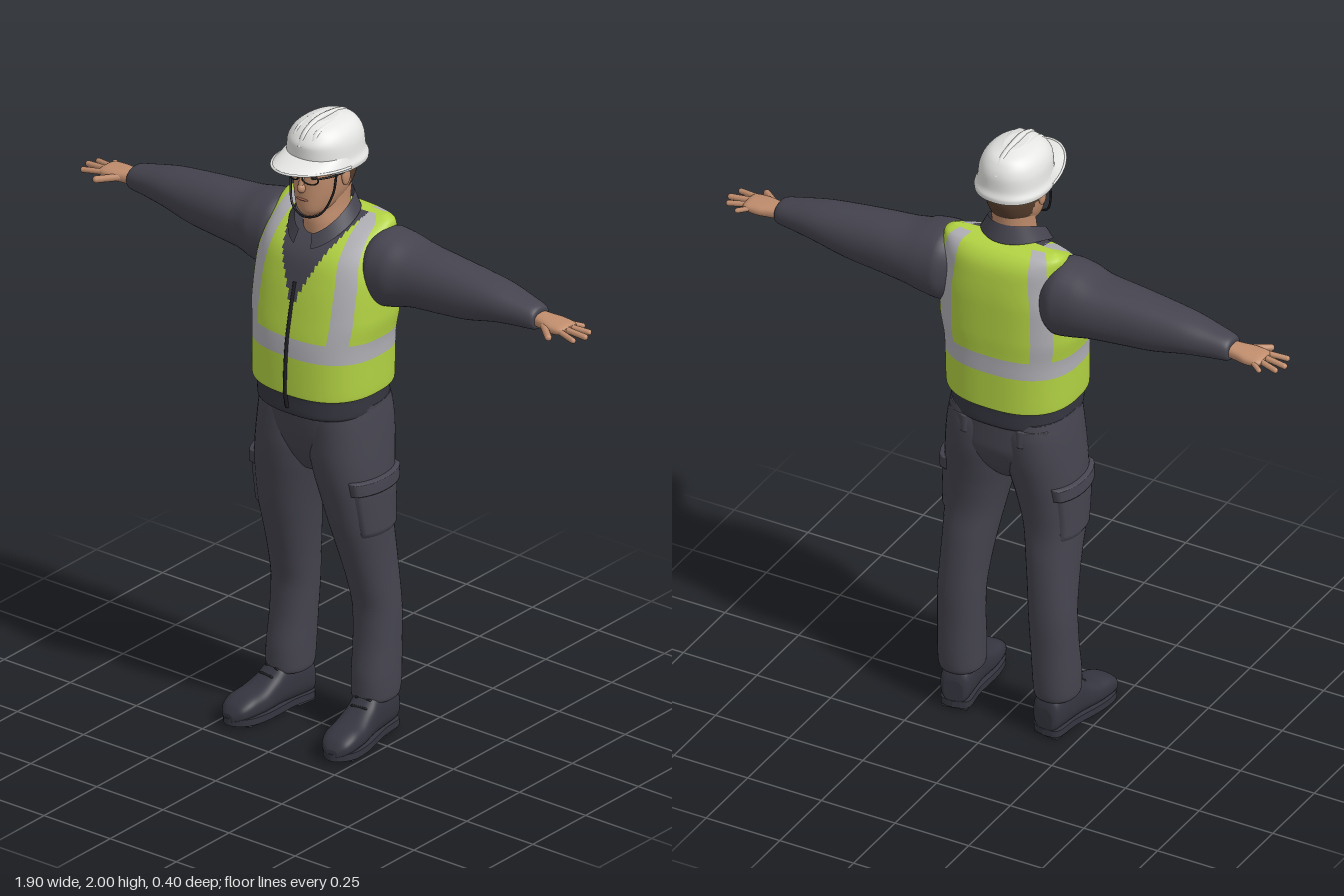
import * as THREE from 'three';

const mat = (name, color, side = THREE.FrontSide) => {
  const m = new THREE.MeshStandardMaterial({ color, side });
  m.name = name;
  return m;
};

// Monotone cubic blend between neighbouring cross-sections
function blend(p0, p1, p2, p3, u) {
  const slope = (a, b) => (a * b <= 0 ? 0 : Math.sign(a) * Math.min(Math.abs(a + b) / 2, 3 * Math.abs(a), 3 * Math.abs(b)));
  const d = p2 - p1, m1 = slope(p1 - p0, d), m2 = slope(d, p3 - p2);
  return p1 + u * (m1 + u * (3 * d - 2 * m1 - m2 + u * (m1 + m2 - 2 * d)));
}
const power = (v, e) => Math.sign(v) * Math.abs(v) ** e;

// Surface through rings [t, a0, a1, b0, b1]: superellipses stacked along an axis
function surface(rings, axis, n = 2.2) {
  const last = rings.length - 1;
  return (th, s, puff = 0) => {
    const k = s * last, i = Math.min(Math.floor(k), last - 1);
    const [t, a0, a1, b0, b1] = rings[i].map((v, j) =>
      blend(rings[Math.max(i - 1, 0)][j], v, rings[i + 1][j], rings[Math.min(i + 2, last)][j], k - i));
    const a = (a0 + a1) / 2 + ((a1 - a0) / 2 + puff) * power(Math.cos(th), 2 / n);
    const b = (b0 + b1) / 2 + ((b1 - b0) / 2 + puff) * power(Math.sin(th), 2 / n);
    return axis === 'y' ? [a, t, b] : axis === 'x' ? [t, a, b] : [a, b, t];
  };
}

// Grid geometry over a surface: whole and capped, or a raised patch of it
function grid(f, { nu = 40, nv = 48, th = null, s = [0, 1], puff = 0, flip = false, mirror = false, paint = null } = {}) {
  const [t0, t1] = th ?? [0, Math.PI * 2], cols = th ? nu + 1 : nu, pos = [], groups = [[], [], [], []];
  for (let j = 0; j <= nv; j++) for (let i = 0; i < cols; i++) {
    const u = i / nu, v = j / nv;
    const rise = puff ? Math.min(1, 10 * Math.min(u, 1 - u, v, 1 - v)) * (puff + 0.004) - 0.004 : 0;
    const [x, y, z] = f(t0 + u * (t1 - t0), s[0] + v * (s[1] - s[0]), rise);
    pos.push(mirror ? -x : x, y, z);
  }
  const tri = (g, a, b, c) => groups[g].push(...(flip !== mirror ? [a, c, b] : [a, b, c]));
  for (let j = 0; j < nv; j++) for (let i = 0; i < nu; i++) {
    const k = th ? i + 1 : (i + 1) % nu;
    const a = j * cols + i, b = j * cols + k, d = a + cols, e = b + cols;
    const mid = [0, 1, 2].map((q) => (pos[a * 3 + q] + pos[e * 3 + q]) / 2);
    const g = paint ? paint(...mid, t0 + ((i + 0.5) / nu) * (t1 - t0)) : 0;
    tri(g, a, b, d);
    tri(g, b, e, d);
  }
  if (!th) for (const j of [0, nv]) {
    const c = pos.length / 3, sum = [0, 0, 0];
    for (let i = 0; i < nu; i++) for (let q = 0; q < 3; q++) sum[q] += pos[(j * cols + i) * 3 + q] / nu;
    pos.push(...sum);
    for (let i = 0; i < nu; i++) {
      const p = j * cols + i, q = j * cols + (i + 1) % nu;
      j ? tri(0, p, q, c) : tri(0, q, p, c);
    }
  }
  const geo = new THREE.BufferGeometry();
  geo.setAttribute('position', new THREE.Float32BufferAttribute(pos, 3));
  geo.setIndex(groups.flat());
  let start = 0;
  if (paint) groups.forEach((g, i) => { if (g.length) geo.addGroup(start, g.length, i); start += g.length; });
  geo.computeVertexNormals();
  return geo;
}

export function createModel() {
  const navy = mat('navy cloth', 0x45444f, THREE.DoubleSide), dark = mat('dark navy', 0x353540);
  const lime = mat('lime vest', 0xb3d343), silver = mat('silver tape', 0xb0b0b6);
  const skin = mat('skin', 0xc08d6d), hair = mat('brown hair', 0x59402f), lips = mat('lips', 0x9c6450);
  const white = mat('white shell', 0xe6e6e4, THREE.DoubleSide), black = mat('black', 0x1e1e22);
  const root = new THREE.Group();
  const add = (name, geo, m, parent = root) => {
    const mesh = new THREE.Mesh(geo, m);
    mesh.name = name;
    parent.add(mesh);
    return mesh;
  };
  const V = (p) => new THREE.Vector3(...p);
  const tube = (pts, r, seg = 32) => new THREE.TubeGeometry(new THREE.CatmullRomCurve3(pts.map(V)), seg, r, 8);
  const ball = (x, y, z, a, b, c) => new THREE.SphereGeometry(1, 20, 14).scale(a, b, c).translate(x, y, z);
  const rod = (p, q, r) => {
    const a = V(p), d = V(q).sub(a), len = d.length();
    return new THREE.CapsuleGeometry(r, len, 6, 12).applyQuaternion(
      new THREE.Quaternion().setFromUnitVectors(new THREE.Vector3(0, 1, 0), d.clone().normalize()))
      .translate(...a.addScaledVector(d, 0.5).toArray());
  };
  const even = (rows) => rows.map(([t, r, b0, b1]) => [t, -r, r, b0, b1]);

  // Torso: jacket hem, vest, reflective tape and open neck
  const torso = surface(even([
    [1.07, 0.175, -0.16, 0.14], [1.085, 0.19, -0.18, 0.16], [1.14, 0.192, -0.182, 0.162], [1.15, 0.207, -0.192, 0.172],
    [1.3, 0.213, -0.192, 0.165], [1.4, 0.226, -0.195, 0.148], [1.5, 0.225, -0.195, 0.125], [1.58, 0.212, -0.19, 0.095],
    [1.64, 0.203, -0.178, 0.035], [1.675, 0.195, -0.15, -0.03], [1.69, 0.17, -0.11, -0.07]]), 'y', 2.5);
  const vestPaint = (x, y, z, th) => {
    const c = Math.abs(Math.cos(th));
    if (y < 1.145) return 3;
    if (z > -0.08 && y > 1.42 && Math.abs(x) < (y - 1.42) * 0.45) return 2;
    if (y > 1.272 && y < 1.328) return 1;
    return y > 1.3 && c > 0.53 && c < 0.8 ? 1 : 0;
  };
  add('vest', grid(torso, { nu: 160, nv: 150, flip: true, paint: vestPaint }), [lime, silver, navy, dark]);
  add('zipper', tube([[0, 1.1, 0.162], [0, 1.15, 0.171], [0, 1.3, 0.165], [0, 1.4, 0.148], [0, 1.5, 0.125]], 0.006), black);

  // Folded collar, higher at the nape, open at the throat
  const collar = (p, s) => {
    const c = Math.cos(p), w = Math.sin(p) ** 2;
    return [Math.sin(p) * (0.107 - 0.024 * s), 1.645 - 0.047 * c + 0.03 * w + s * (0.05 - 0.007 * c - 0.01 * w),
      -0.015 + c * (0.112 - 0.017 * s)];
  };
  add('collar', grid(collar, { th: [0.3, Math.PI * 2 - 0.3], nu: 48, nv: 6 }), navy);

  // Neck and head
  const neck = surface(even([[1.58, 0.06, -0.1, 0.045], [1.66, 0.062, -0.1, 0.05], [1.72, 0.06, -0.105, 0.04], [1.8, 0.065, -0.115, 0.05]]), 'y');
  add('neck', grid(neck, { flip: true, nv: 12 }), skin);
  const head = surface(even([[1.7, 0.025, 0.02, 0.078], [1.72, 0.048, -0.04, 0.09], [1.76, 0.067, -0.1, 0.093], [1.8, 0.077, -0.125, 0.092],
    [1.84, 0.082, -0.135, 0.09], [1.88, 0.083, -0.135, 0.088], [1.92, 0.075, -0.12, 0.08]]), 'y');
  add('head', grid(head, { nu: 64, nv: 48, flip: true, paint: (x, y, z) => (y > 1.765 && z < (y > 1.81 ? -0.012 : -0.045) ? 1 : 0) }), [skin, hair]);
  add('nose', ball(0, 1.795, 0.093, 0.013, 0.016, 0.016), skin);
  add('noseBridge', rod([0, 1.84, 0.088], [0, 1.8, 0.098], 0.008), skin);
  add('mouth', ball(0, 1.757, 0.091, 0.022, 0.004, 0.006), lips);

  // Hard hat: shell, ridges, peak and rolled edge
  const shell = surface(even([[1.85, 0.112, -0.157, 0.1], [1.862, 0.114, -0.158, 0.105], [1.885, 0.106, -0.15, 0.105], [1.93, 0.1, -0.146, 0.105],
    [1.96, 0.087, -0.133, 0.09], [1.98, 0.064, -0.112, 0.066], [1.992, 0.03, -0.07, 0.03]]), 'y');
  add('helmetShell', grid(shell, { flip: true, nu: 64 }), white);
  const peak = (p, s) => [Math.sin(p) * (0.1 + 0.013 * s), 1.9 + s * (0.018 * Math.cos(p) - 0.038), Math.cos(p) * (0.09 + 0.1 * s)];
  const half = Math.PI / 2;
  add('helmetPeak', grid(peak, { th: [-half, half], nu: 40, nv: 8 }), white);
  add('peakEdge', tube(Array.from({ length: 15 }, (_, i) => peak(-half + (i * Math.PI) / 14, 1)), 0.004, 48), white);
  for (const x of [-0.034, 0, 0.034]) {
    const h = Math.abs(x) * 0.3;
    add('helmetRidge', tube([[x, 1.93, 0.098 - h], [x, 1.965, 0.078 - h], [x, 1.988 - h, 0.03], [x, 1.99 - h, -0.04],
      [x, 1.972 - h, -0.11], [x, 1.93, -0.138 + h]], 0.01), white);
  }
  add('chinStrap', tube([[-0.084, 1.86, 0.03], [-0.08, 1.78, 0.045], [-0.052, 1.715, 0.07], [0, 1.697, 0.082],
    [0.052, 1.715, 0.07], [0.08, 1.78, 0.045], [0.084, 1.86, 0.03]], 0.0035, 48), black);

  // Trouser seat
  const seat = surface(even([[0.86, 0.05, -0.1, 0.06], [0.92, 0.14, -0.145, 0.1], [1, 0.19, -0.17, 0.127], [1.1, 0.192, -0.17, 0.14]]), 'y', 2.4);
  add('trouserSeat', grid(seat, { flip: true }), navy);

  const sleeve = surface([[0.13, 1.46, 1.62, -0.14, 0], [0.2, 1.42, 1.662, -0.185, 0.045], [0.25, 1.428, 1.655, -0.185, 0.045],
    [0.32, 1.445, 1.638, -0.18, 0.03], [0.42, 1.453, 1.63, -0.168, 0.018], [0.52, 1.463, 1.62, -0.16, 0.008],
    [0.62, 1.485, 1.607, -0.15, -0.005], [0.7, 1.495, 1.59, -0.135, -0.02], [0.76, 1.5, 1.575, -0.122, -0.032], [0.77, 1.51, 1.563, -0.112, -0.042]], 'x');
  const palm = surface([[0.74, 1.515, 1.556, -0.105, -0.05], [0.79, 1.512, 1.554, -0.112, -0.042], [0.83, 1.512, 1.551, -0.12, -0.033],
    [0.865, 1.517, 1.547, -0.118, -0.035], [0.878, 1.524, 1.54, -0.11, -0.042]], 'x', 2.5);
  const leg = surface([[0.125, 0.1, 0.222, -0.125, 0.015], [0.14, 0.095, 0.228, -0.135, 0.022], [0.2, 0.092, 0.23, -0.14, 0.02],
    [0.3, 0.088, 0.228, -0.142, 0.005], [0.4, 0.083, 0.226, -0.145, 0], [0.5, 0.075, 0.222, -0.142, 0.02], [0.6, 0.062, 0.22, -0.135, 0.05],
    [0.7, 0.045, 0.222, -0.125, 0.08], [0.8, 0.022, 0.222, -0.135, 0.103], [0.88, 0.002, 0.218, -0.15, 0.118],
    [0.96, -0.01, 0.21, -0.165, 0.125], [1.04, -0.01, 0.2, -0.17, 0.125], [1.1, 0, 0.19, -0.16, 0.12]], 'y');
  const boot = surface(even([[-0.13, 0.03, 0.03, 0.1], [-0.115, 0.046, 0.02, 0.14], [-0.06, 0.05, 0.02, 0.16], [0, 0.05, 0.02, 0.155],
    [0.04, 0.052, 0.02, 0.125], [0.09, 0.057, 0.02, 0.1], [0.14, 0.056, 0.02, 0.09], [0.18, 0.044, 0.02, 0.07], [0.2, 0.018, 0.02, 0.045]]), 'z', 2.6);
  const edge = [[0.045, 0.115], [0.047, 0.03], [0.061, -0.09], [0.05, -0.165]];
  const outline = [[0, 0.133], ...edge, [0, -0.203], ...edge.map(([x, y]) => [-x, y]).reverse()].map((p) => new THREE.Vector2(...p));
  const soleShape = new THREE.Shape(new THREE.SplineCurve([...outline, outline[0]]).getPoints(60));

  for (const side of [1, -1]) {
    const mirror = side < 0, pre = mirror ? 'right' : 'left';
    // Sleeve and hand
    add(pre + 'Sleeve', grid(sleeve, { mirror, nv: 60 }), navy);
    add(pre + 'Palm', grid(palm, { mirror, nu: 28, nv: 20 }), skin);
    for (const [x0, z0, x1, z1, r] of [[0.86, -0.046, 0.926, -0.032, 0.009], [0.865, -0.068, 0.939, -0.073, 0.0095],
      [0.86, -0.09, 0.927, -0.106, 0.009], [0.85, -0.108, 0.885, -0.13, 0.008], [0.8, -0.05, 0.855, -0.004, 0.011]])
      add(pre + 'Finger', rod([side * x0, 1.533, z0], [side * x1, 1.526, z1], r), skin);

    // Trouser leg with cargo pocket, flap and back pocket flap
    add(pre + 'Leg', grid(leg, { mirror, flip: true, nv: 72 }), navy);
    add(pre + 'CargoPocket', grid(leg, { mirror, flip: true, th: [-0.9, 0.9], s: [0.565, 0.735], nu: 30, nv: 30, puff: 0.007 }), navy);
    add(pre + 'PocketFlap', grid(leg, { mirror, flip: true, th: [-0.98, 0.98], s: [0.695, 0.748], nu: 30, nv: 20, puff: 0.014 }), navy);
    add(pre + 'BackFlap', grid(seat, { mirror, flip: true, th: [-1.25, -0.6], s: [0.72, 0.9], nu: 24, nv: 20, puff: 0.014 }), navy);

    // Boot with sole, treads and laces
    const foot = new THREE.Group();
    foot.name = pre + 'Boot';
    foot.position.x = side * 0.17;
    foot.rotation.y = side * 0.13;
    root.add(foot);
    add('bootUpper', grid(boot, { nv: 40 }), dark, foot);
    add('sole', new THREE.ExtrudeGeometry(soleShape, { depth: 0.022, bevelEnabled: false }).rotateX(-half).translate(0, 0.01, 0), dark, foot);
    add('heel', new THREE.BoxGeometry(0.08, 0.012, 0.07).translate(0, 0.006, -0.085), dark, foot);
    for (let i = 0; i < 5; i++) add('tread', new THREE.BoxGeometry(0.092, 0.012, 0.014).translate(0, 0.006, 0.05 + i * 0.025), dark, foot);
    for (let i = 0; i < 3; i++)
      add('lace', rod([-0.024, 0.139 - i * 0.018, 0.018 + i * 0.024], [0.024, 0.139 - i * 0.018, 0.018 + i * 0.024], 0.004), black, foot);

    // Ear, eye, brow and safety glasses
    add(pre + 'Ear', ball(side * 0.084, 1.82, -0.012, 0.009, 0.03, 0.018), skin);
    add(pre + 'Eye', ball(side * 0.033, 1.832, 0.081, 0.013, 0.005, 0.005), black);
    add(pre + 'Brow', rod([side * 0.018, 1.849, 0.089], [side * 0.05, 1.849, 0.077], 0.004), hair);
    add(pre + 'LensFrame', new THREE.TorusGeometry(0.026, 0.0025, 8, 28).scale(1, 0.65, 1).rotateY(side * 0.25).translate(side * 0.033, 1.832, 0.094), black);
    add(pre + 'GlassesArm', tube([[side * 0.058, 1.838, 0.088], [side * 0.08, 1.838, 0.045], [side * 0.088, 1.838, -0.02]], 0.003), black);
  }
  return root;
}
